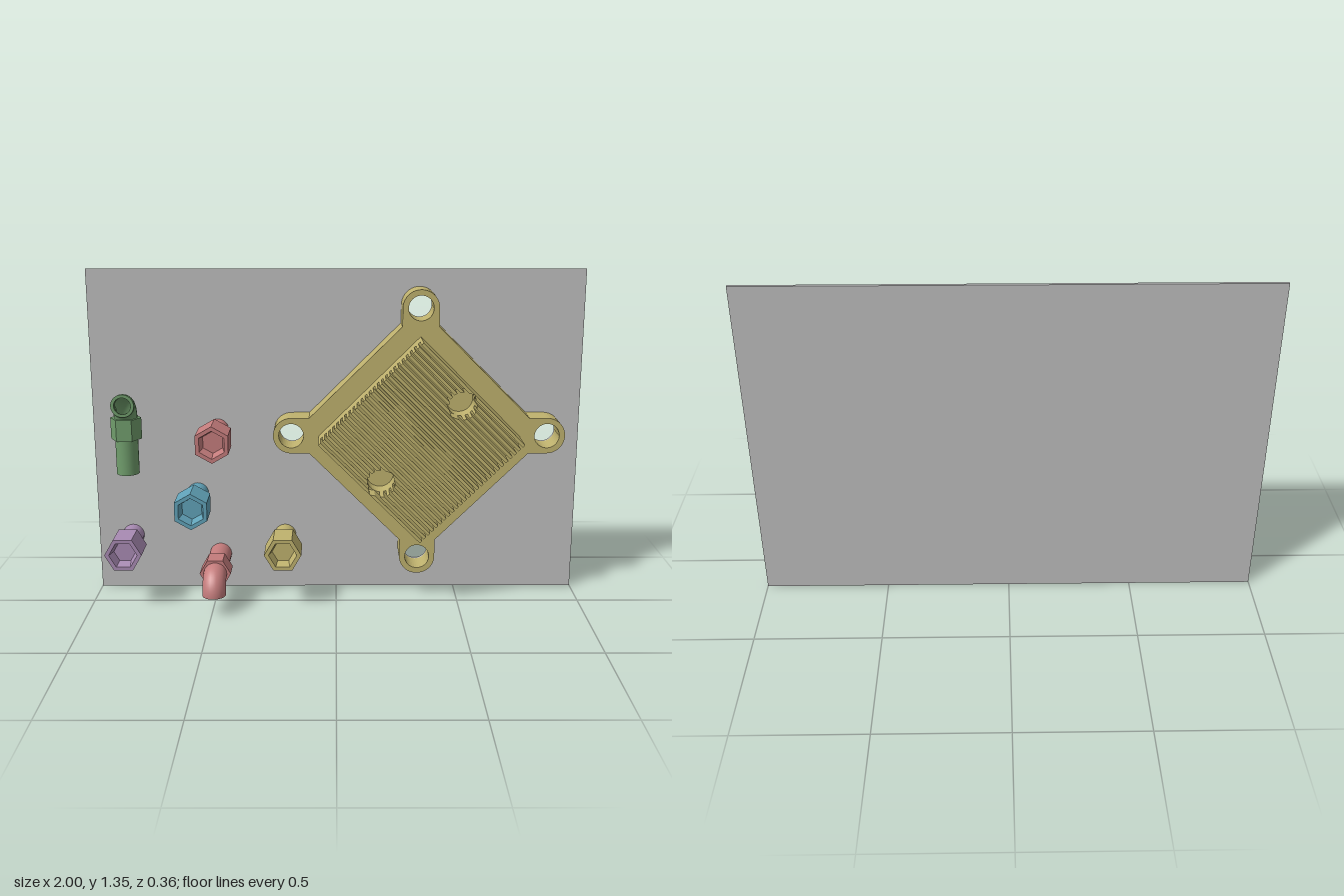
import * as THREE from 'three';

const material = (name, color, side = THREE.FrontSide) => {
  const m = new THREE.MeshStandardMaterial({ color, side });
  m.name = name;
  return m;
};

const mesh = (name, geometry, mat) => {
  const m = new THREE.Mesh(geometry, mat);
  m.name = name;
  return m;
};

const circle = (x, y, r) => new THREE.Path().absarc(x, y, r, 0, Math.PI * 2, true);
const extrude = (shape, z0, z1) =>
  new THREE.ExtrudeGeometry(shape, { depth: z1 - z0, bevelEnabled: false, curveSegments: 20 }).translate(0, 0, z0);
const polygon = (pts) => new THREE.Shape(pts.map(([x, y]) => new THREE.Vector2(x, y)));

const Z_PLATE = -0.163, Z_BACK = -0.176, Z_BASE = -0.055, Z_GROOVE = 0.02, Z_FRONT = 0.094;
const CX = 0.335, CY = 0.69;          // centre of the finned block
const EAR = 0.517, EAR_R = 0.073, BOLT_R = 0.05;
const EARS = [0, 1, 2, 3].map((k) => [EAR * Math.cos(k * Math.PI / 2), EAR * Math.sin(k * Math.PI / 2)]);

// Backing plate, open at the front behind each bolt hole and closed at the back
function backPlate(mat) {
  const g = new THREE.Group();
  g.name = 'backPlate';
  const shape = polygon([[-1, 0], [1, 0], [1, 1.35], [-1, 1.35]]);
  for (const [x, y] of EARS) {
    shape.holes.push(circle(CX + x, CY + y, BOLT_R));
    const cap = new THREE.CircleGeometry(BOLT_R, 40).rotateY(Math.PI).translate(CX + x, CY + y, Z_BACK);
    g.add(mesh('plateBackCap', cap, mat));
  }
  g.add(mesh('plate', extrude(shape, Z_BACK, Z_PLATE), mat));
  return g;
}

// Diamond block with four bolt ears, two ports and parallel fins
function finnedBlock(mat) {
  const g = new THREE.Group();
  g.name = 'finnedBlock';
  g.position.set(CX, CY, 0);

  const outline = [];
  for (let k = 0; k < 4; k++) {
    const a = k * Math.PI / 2, c = Math.cos(a), s = Math.sin(a);
    const put = (x, y) => outline.push([x * c - y * s, x * s + y * c]);
    put(EAR - EAR_R, -EAR_R);
    for (let i = 0; i <= 20; i++) {
      const t = -Math.PI / 2 + Math.PI * i / 20;
      put(EAR + EAR_R * Math.cos(t), EAR_R * Math.sin(t));
    }
    put(EAR - EAR_R, EAR_R);
  }
  const base = polygon(outline);
  for (const [x, y] of EARS) base.holes.push(circle(x, y, BOLT_R));
  g.add(mesh('earedBase', extrude(base, Z_PLATE, Z_BASE), mat));

  // Raised square, turned so that local x runs along the grooves
  const raised = new THREE.Group();
  raised.name = 'raisedSquare';
  raised.rotation.z = -Math.PI / 4;
  g.add(raised);
  const h = 0.405 / Math.SQRT2, portV = 0.222, portR = 0.055;
  const square = polygon([[-h, -h], [h, -h], [h, h], [-h, h]]);
  for (const v of [-portV, portV]) square.holes.push(circle(0, v, portR));
  raised.add(mesh('squareBody', extrude(square, Z_BASE, Z_GROOVE), mat));

  // Fins, interrupted where they meet a port
  const count = 26, w = (2 * h / (count - 0.45)) * 0.55, pitch = (2 * h - w) / (count - 1);
  const gap = (v) => {
    const d = Math.abs(v) - portV;
    return Math.abs(d) < portR ? Math.sqrt(portR * portR - d * d) : 0;
  };
  for (let i = 0; i < count; i++) {
    const v0 = -h + i * pitch, v1 = v0 + w, g0 = gap(v0), g1 = gap(v1);
    const parts = g0 + g1 > 0
      ? [[[-h, v0], [-g0, v0], [-g1, v1], [-h, v1]], [[g0, v0], [h, v0], [h, v1], [g1, v1]]]
      : [[[-h, v0], [h, v0], [h, v1], [-h, v1]]];
    for (const p of parts) raised.add(mesh('fin', extrude(polygon(p), Z_GROOVE, Z_FRONT), mat));
  }
  return g;
}

// Round stem along z
const stem = (r, z0, z1) =>
  new THREE.CylinderGeometry(r, r, z1 - z0, 32).rotateX(Math.PI / 2).translate(0, 0, (z0 + z1) / 2);

// Straight fitting: hex nut with a tapered hex socket, on a round stem
function straightFitting(name, x, y, mat, turn) {
  const g = new THREE.Group();
  g.name = name;
  g.position.set(x, y, 0);
  const profile = [[0, -0.055], [0.06, -0.055], [0.075, -0.04], [0.075, 0.092], [0.057, 0.092], [0.045, 0.045], [0, 0.045]]
    .map(([r, z]) => new THREE.Vector2(r, z));
  const hex = new THREE.LatheGeometry(profile, 6, turn).toNonIndexed();
  hex.computeVertexNormals();
  g.add(mesh('hexSocket', hex.rotateX(Math.PI / 2), mat));
  g.add(mesh('stem', stem(0.045, Z_PLATE, -0.05), mat));
  return g;
}

// Elbow fitting: stem, hex collar and an open quarter bend
function elbowFitting(name, mat) {
  const g = new THREE.Group();
  g.name = name;
  const R = 0.067, r = 0.047, bore = 0.034, z0 = 0.23;
  const bend = (tube) =>
    new THREE.TorusGeometry(R, tube, 24, 16, Math.PI / 2).rotateY(-Math.PI / 2).translate(0, -R, z0);
  g.add(mesh('stem', stem(0.046, 0, 0.15), mat));
  const collar = polygon([0, 1, 2, 3, 4, 5].map((k) => [0.063 * Math.cos(k * Math.PI / 3), 0.063 * Math.sin(k * Math.PI / 3)]));
  g.add(mesh('hexCollar', extrude(collar, 0.147, 0.235), mat));
  g.add(mesh('bend', bend(r), mat));
  g.add(mesh('bore', bend(bore), mat));
  g.add(mesh('rim', new THREE.RingGeometry(bore, r, 32).rotateX(Math.PI / 2).translate(0, -R, z0 + R), mat));
  return g;
}

export function createModel() {
  const grey = material('plateGrey', 0xbfbfbf);
  const olive = material('brassOlive', 0xbfb26e);
  const red = material('dustyRed', 0xc47c7c, THREE.DoubleSide);
  const blue = material('steelBlue', 0x61a2b8);
  const purple = material('softPurple', 0xa98bb3);
  const green = material('leafGreen', 0x709d6c, THREE.DoubleSide);

  const model = new THREE.Group();
  model.name = 'fittingsBoard';
  model.add(backPlate(grey), finnedBlock(olive));

  const flat = Math.PI / 6;
  model.add(
    straightFitting('redFitting', -0.488, 0.69, red, 0),
    straightFitting('blueFitting', -0.579, 0.415, blue, 0),
    straightFitting('purpleFitting', -0.857, 0.232, purple, flat),
    straightFitting('oliveFitting', -0.215, 0.232, olive, flat),
  );

  const redElbow = elbowFitting('redElbow', red);
  redElbow.position.set(-0.49, 0.146, Z_PLATE);
  const greenElbow = elbowFitting('greenElbow', green);
  greenElbow.rotation.x = -Math.PI / 2;
  greenElbow.position.set(-0.856, 0.52, -0.106);
  model.add(redElbow, greenElbow);
  return model;
}
